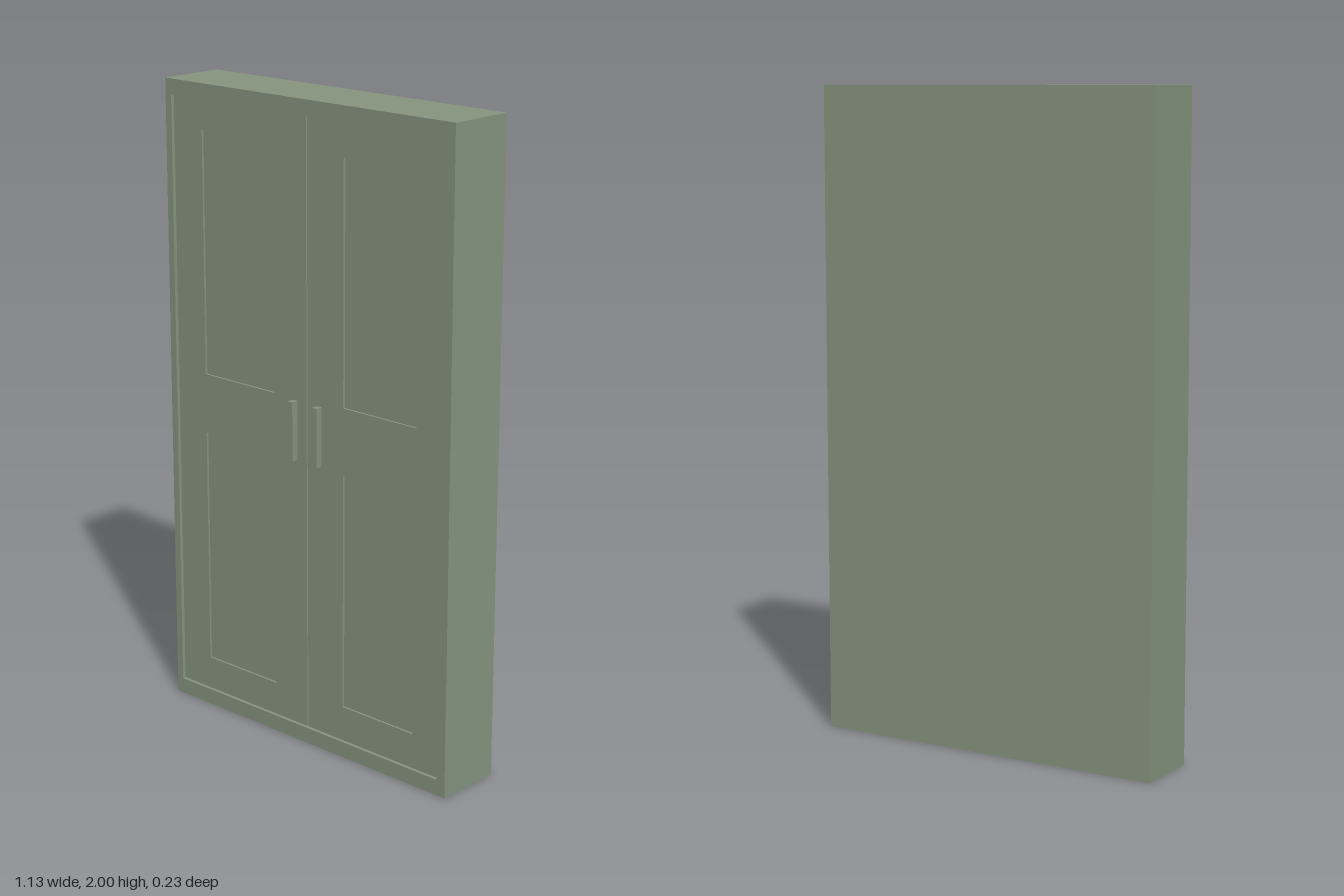
import * as THREE from 'three';

const W = 0.567, H = 2;              // half width, height
const BACK = -0.114, FLOOR = 0.085;  // back face, panel floor
const DOOR = 0.092, FRONT = 0.103, GRIP = 0.114;

// Rectangle outline, corners given as [x0, y0, x1, y1]
function rect([x0, y0, x1, y1], Type = THREE.Shape) {
  return new Type([[x0, y0], [x1, y0], [x1, y1], [x0, y1]].map(p => new THREE.Vector2(...p)));
}

export function createModel() {
  const group = new THREE.Group();
  const material = new THREE.MeshStandardMaterial({ color: 0x87967f });

  // Flat board between z0 and z1 with rectangular openings
  function board(name, outline, holes, z0, z1) {
    const shape = rect(outline);
    holes.forEach(h => shape.holes.push(rect(h, THREE.Path)));
    const geometry = new THREE.ExtrudeGeometry(shape, { depth: z1 - z0, bevelEnabled: false });
    geometry.translate(0, 0, z0);
    const mesh = new THREE.Mesh(geometry, material);
    mesh.name = name;
    group.add(mesh);
  }

  // Carcass and the raised frame around the doors
  board('carcass', [-W, 0, W, H], [], BACK, FLOOR);
  board('frontFrame', [-W, 0, W, H], [[-0.543, 0.05, 0.535, 1.953]], FLOOR, FRONT);

  // Two doors, each with two sunken panels, meeting at a narrow gap
  board('rightDoor', [-0.543, 0.05, 0.003, 1.953],
    [[-0.425, 0.155, -0.13, 0.91], [-0.425, 1.1, -0.13, 1.86]], FLOOR, DOOR);
  board('leftDoor', [0.007, 0.05, 0.535, 1.953],
    [[0.15, 0.16, 0.432, 0.903], [0.15, 1.11, 0.432, 1.85]], FLOOR, DOOR);

  // Upright bar handles either side of the gap
  for (const [name, x] of [['rightHandle', -0.044], ['leftHandle', 0.054]]) {
    board(name, [x - 0.009, 0.91, x + 0.009, 1.095], [], DOOR, GRIP);
  }
  return group;
}
